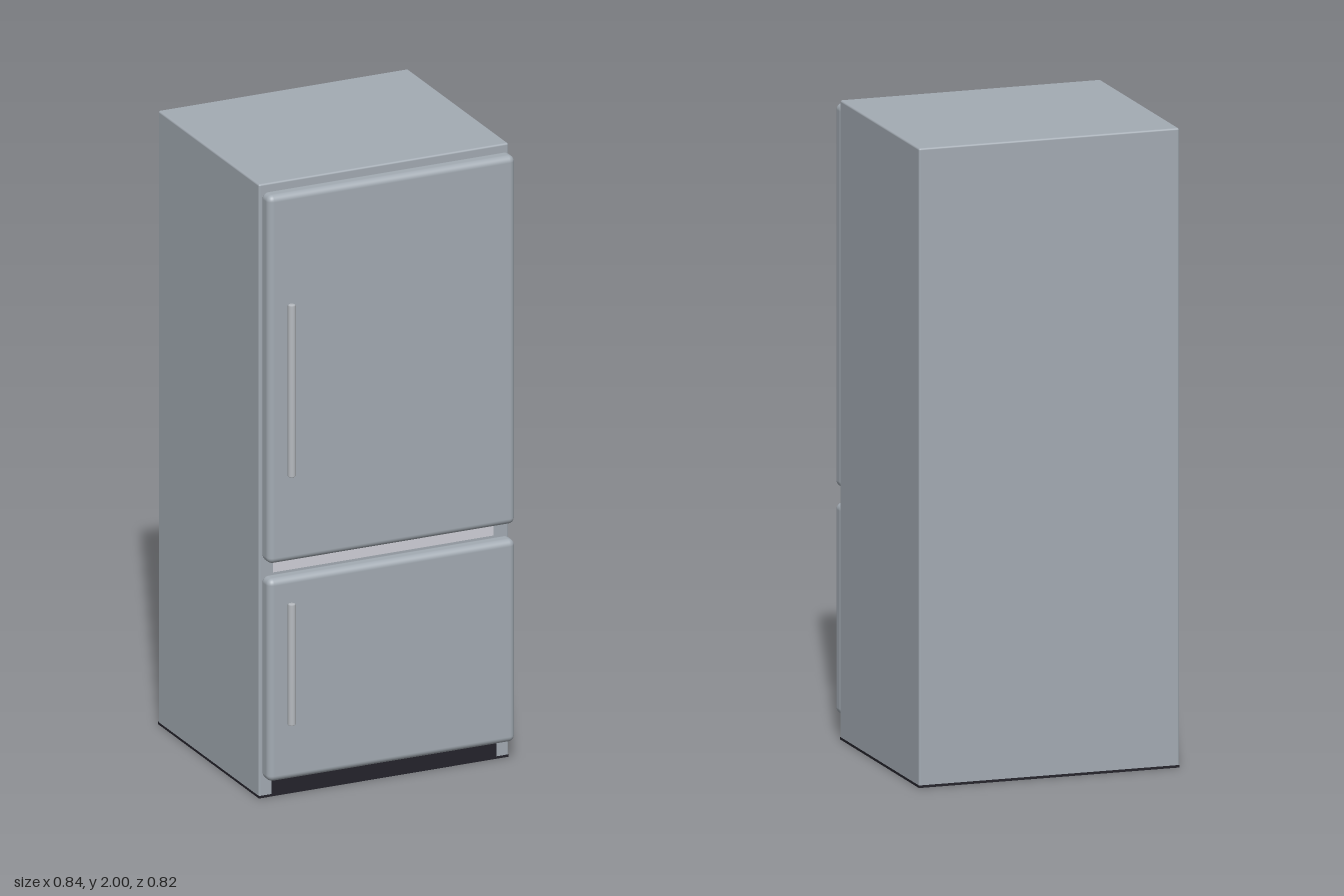
import * as THREE from 'three';
import { RoundedBoxGeometry } from 'three/addons/geometries/RoundedBoxGeometry.js';

const mat = (name, color) => Object.assign(new THREE.MeshStandardMaterial({ color }), { name });

export function createModel() {
  const steel = mat('steel grey', 0xa3abb3);
  const handleMetal = mat('light handle metal', 0xb6babf);
  const lining = mat('pale lining', 0xd0d0d8);
  const dark = mat('dark plastic', 0x24232b);
  const seal = mat('seal grey', 0x6b7178);

  const fridge = new THREE.Group();
  fridge.name = 'refrigerator';

  const add = (name, geometry, material, x, y, z) => {
    const mesh = new THREE.Mesh(geometry, material);
    mesh.name = name;
    mesh.position.set(x, y, z);
    fridge.add(mesh);
    return mesh;
  };
  // Boxes are given by their lower and upper limits
  const box = (name, material, [x0, x1], [y0, y1], [z0, z1], radius = 0) => {
    const size = [x1 - x0, y1 - y0, z1 - z0];
    const geometry = radius ? new RoundedBoxGeometry(...size, 4, radius) : new THREE.BoxGeometry(...size);
    return add(name, geometry, material, (x0 + x1) / 2, (y0 + y1) / 2, (z0 + z1) / 2);
  };

  // Cabinet with a dark underside
  box('cabinet', steel, [-0.422, 0.422], [0.002, 2], [-0.41, 0.305], 0.006);
  box('base', dark, [-0.422, 0.422], [0, 0.008], [-0.41, 0.305]);
  box('kickPlate', dark, [-0.38, 0.38], [0.008, 0.075], [0.3, 0.307]);
  box('dividerStrip', lining, [-0.375, 0.37], [0.73, 0.765], [0.3, 0.307]);

  // Rounded doors, each with a seal behind it and a slim upright handle
  const doors = [
    { name: 'fridge', y: [0.78, 1.98], handle: [1.07, 1.63] },
    { name: 'freezer', y: [0.07, 0.73], handle: [0.26, 0.655] },
  ];
  for (const { name, y, handle } of doors) {
    box(name + 'Door', steel, [-0.419, 0.417], y, [0.309, 0.368], 0.02);
    box(name + 'Seal', seal, [-0.35, 0.35], [y[0] + 0.03, y[1] - 0.02], [0.303, 0.312]);

    const half = (handle[1] - handle[0]) / 2;
    const r = 0.0125, bevel = 0.003;
    const profile = [[0, -half], [r - bevel, -half], [r, -half + bevel],
      [r, half - bevel], [r - bevel, half], [0, half]].map(([a, b]) => new THREE.Vector2(a, b));
    add(name + 'Handle', new THREE.LatheGeometry(profile, 24), handleMetal,
      -0.355, handle[0] + half, 0.397);
  }
  return fridge;
}
